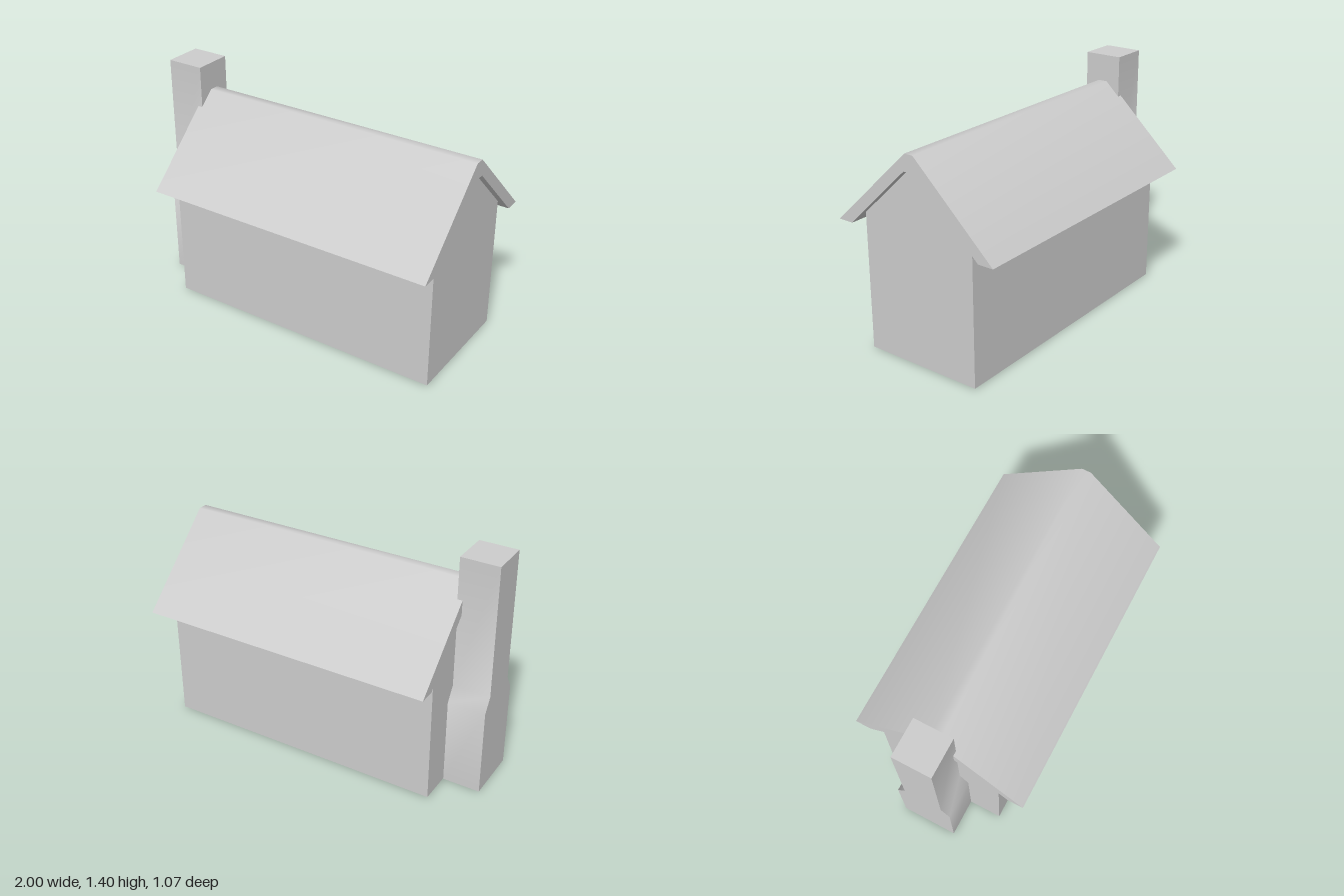
import * as THREE from 'three';
import { toCreasedNormals } from 'three/addons/utils/BufferGeometryUtils.js';

const material = new THREE.MeshStandardMaterial({ color: 0xcccccc });

// Extrudes a [z, y] outline along x from x0 to x1
function extrudeAlongX(name, outline, x0, x1, crease) {
  const shape = new THREE.Shape(outline.map(([z, y]) => new THREE.Vector2(z, y)));
  const geometry = new THREE.ExtrudeGeometry(shape, { depth: x1 - x0, bevelEnabled: false });
  geometry.rotateY(Math.PI / 2).translate(x0, 0, 0);
  const mesh = new THREE.Mesh(toCreasedNormals(geometry, crease), material);
  mesh.name = name;
  return mesh;
}

// Completes a half outline with its mirror image across z = 0
function mirrored(half) {
  return [...half, ...half.map(([z, y]) => [-z, y]).reverse()];
}

export function createModel() {
  const group = new THREE.Group();
  group.name = 'house';

  // Walls with gable ends reaching the underside of the roof
  const walls = mirrored([[0.37, 0.005], [0.37, 0.83], [0.04, 1.14]]);
  group.add(extrudeAlongX('walls', walls, -0.775, 0.96, 0.3));

  // Thick roof with a narrow softened ridge and level eaves
  const outer = mirrored([[0.535, 0.76], [0.028, 1.24]]);
  const inner = mirrored([[0.44, 0.76], [0.038, 1.142]]).reverse();
  group.add(extrudeAlongX('roof', [...outer, ...inner], -0.8, 1, 0.8));

  // Chimney with a wide base tapering to a narrower stack
  const chimney = mirrored([[0.17, 0], [0.17, 0.53], [0.117, 0.615], [0.117, 1.405]]);
  group.add(extrudeAlongX('chimney', chimney, -1, -0.77, 0.8));

  return group;
}
